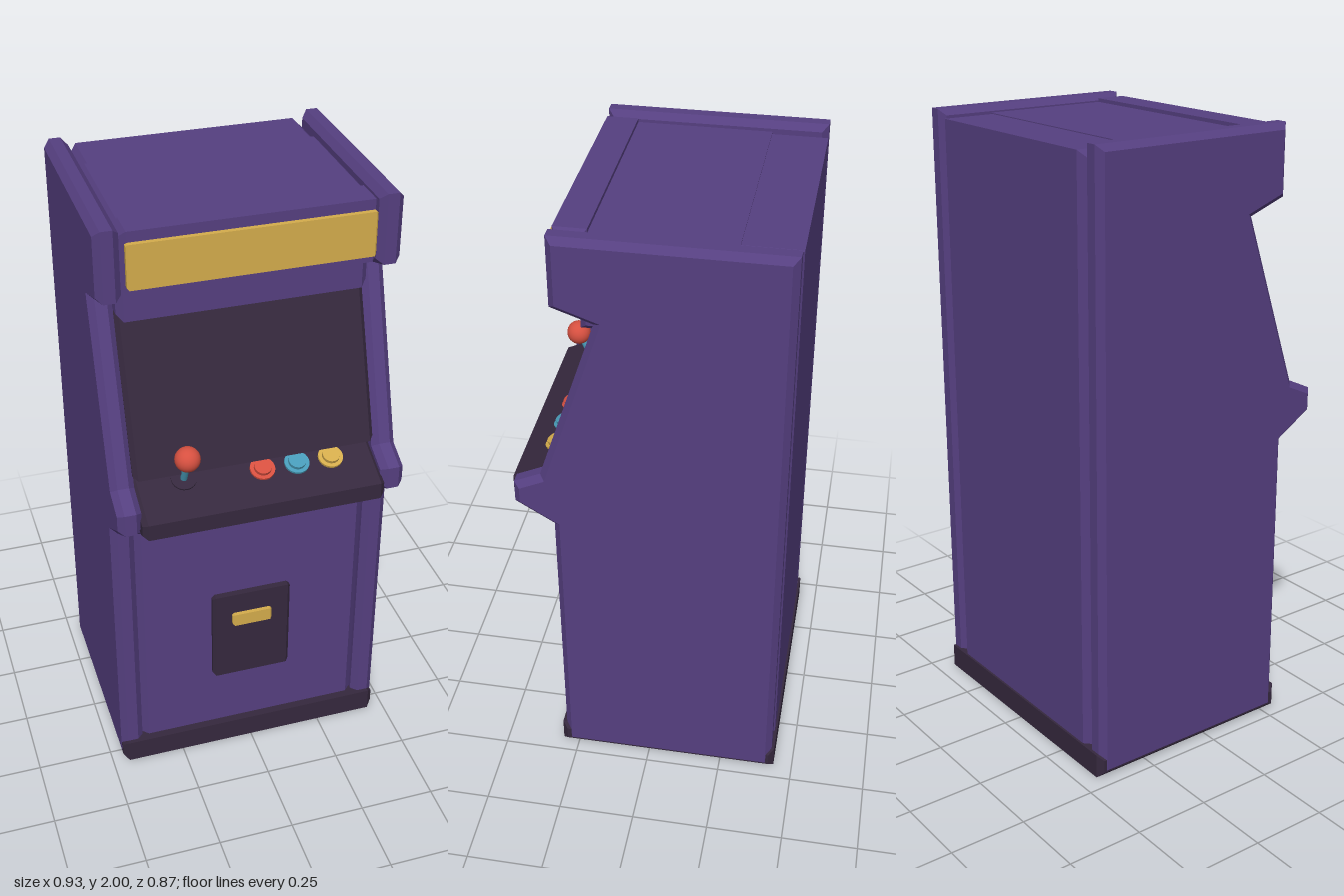
import * as THREE from 'three';

export function createModel() {
  const model = new THREE.Group();
  model.name = 'arcadeCabinet';

  const paint = (name, color) => {
    const m = new THREE.MeshStandardMaterial({ color });
    m.name = name;
    return m;
  };
  const purple = paint('purple cabinet', 0x553f80);
  const dark = paint('dark trim', 0x35283d);
  const gold = paint('gold', 0xd4ac4c);
  const red = paint('red', 0xd65040);
  const blue = paint('blue', 0x489bb8);

  const add = (name, geometry, material, parent = model) => {
    const mesh = new THREE.Mesh(geometry, material);
    mesh.name = name;
    parent.add(mesh);
    return mesh;
  };

  // Chamfered slab: a (z, y) outline extended across x from x0 to x1
  const slab = (outline, x0, x1, bevel) => {
    const shape = new THREE.Shape(outline.map(([z, y]) => new THREE.Vector2(z, y)));
    const g = new THREE.ExtrudeGeometry(shape, {
      depth: x1 - x0 - 2 * bevel, bevelEnabled: true, bevelSegments: 1,
      bevelSize: bevel, bevelThickness: bevel, bevelOffset: -bevel,
    });
    g.rotateY(-Math.PI / 2);
    return g.translate(x1 - bevel, 0, 0);
  };
  const box = (x0, x1, y0, y1, z0, z1, bevel) =>
    slab([[z0, y0], [z1, y0], [z1, y1], [z0, y1]], x0, x1, bevel);

  // Side panels
  const side = [
    [-0.428, 0.005], [0.293, 0.005], [0.293, 0.985], [0.415, 1.06], [0.415, 1.135],
    [0.33, 1.175], [0.145, 1.73], [0.272, 1.775], [0.272, 2], [-0.428, 2],
  ];
  add('leftSidePanel', slab(side, 0.387, 0.463, 0.02), purple);
  add('rightSidePanel', slab(side, -0.463, -0.387, 0.02), purple);

  // Body between the side panels
  add('plinth', box(-0.4615, 0.4615, 0, 0.08, -0.437, 0.307, 0.018), dark);
  add('rearBody', box(-0.39, 0.39, 0.03, 1.975, -0.43, -0.2, 0.03), purple);
  add('lowerFront', box(-0.39, 0.39, 0.03, 0.975, -0.25, 0.28, 0.025), purple);
  add('upperBody', box(-0.39, 0.39, 1.67, 1.978, -0.255, 0.2, 0.02), purple);
  add('controlSupport', slab(
    [[0.1, 0.93], [0.265, 0.95], [0.4, 1.045], [0.1, 1.11]], -0.39, 0.39, 0.008), purple);

  // Marquee
  add('marqueeBox', box(-0.39, 0.39, 1.79, 1.99, 0.17, 0.27, 0.02), purple);
  add('marqueeSign', box(-0.375, 0.375, 1.815, 1.957, 0.255, 0.286, 0.006), gold);

  // Screen and control deck
  add('screen', slab(
    [[0.05, 1.66], [0.2, 1.15], [0.327, 1.19], [0.15, 1.7]], -0.39, 0.39, 0.014), dark);
  add('controlDeck', slab(
    [[0.1, 1.13], [0.4, 1.028], [0.437, 1.045], [0.437, 1.1], [0.24, 1.19], [0.1, 1.2]],
    -0.392, 0.392, 0.016), dark);

  // Controls stand at right angles to the sloping deck
  const onDeck = (name, x, y, z) => {
    const group = new THREE.Group();
    group.name = name;
    group.position.set(x, y, z);
    group.rotation.x = 0.43;
    model.add(group);
    return group;
  };
  const disc = (r, h, y) => new THREE.CylinderGeometry(r, r, h, 24).translate(0, y, 0);

  const stick = onDeck('joystick', -0.23, 1.152, 0.307);
  add('joystickBase', disc(0.04, 0.014, 0.006), dark, stick);
  add('joystickShaft', disc(0.011, 0.12, 0.06), blue, stick);
  add('joystickBall', new THREE.SphereGeometry(0.04, 24, 16).translate(0, 0.123, 0), red, stick);

  [[0.02, red], [0.133, blue], [0.245, gold]].forEach(([x, material], i) => {
    const button = onDeck('button' + (i + 1), x, 1.147, 0.32);
    add('buttonRim', disc(0.04, 0.014, 0.007), material, button);
    add('buttonCap', disc(0.028, 0.014, 0.019), material, button);
  });

  // Coin door
  add('coinDoor', box(-0.135, 0.135, 0.305, 0.648, 0.265, 0.302, 0.01), dark);
  add('coinSlot', box(-0.07, 0.066, 0.526, 0.572, 0.285, 0.316, 0.006), gold);

  return model;
}
